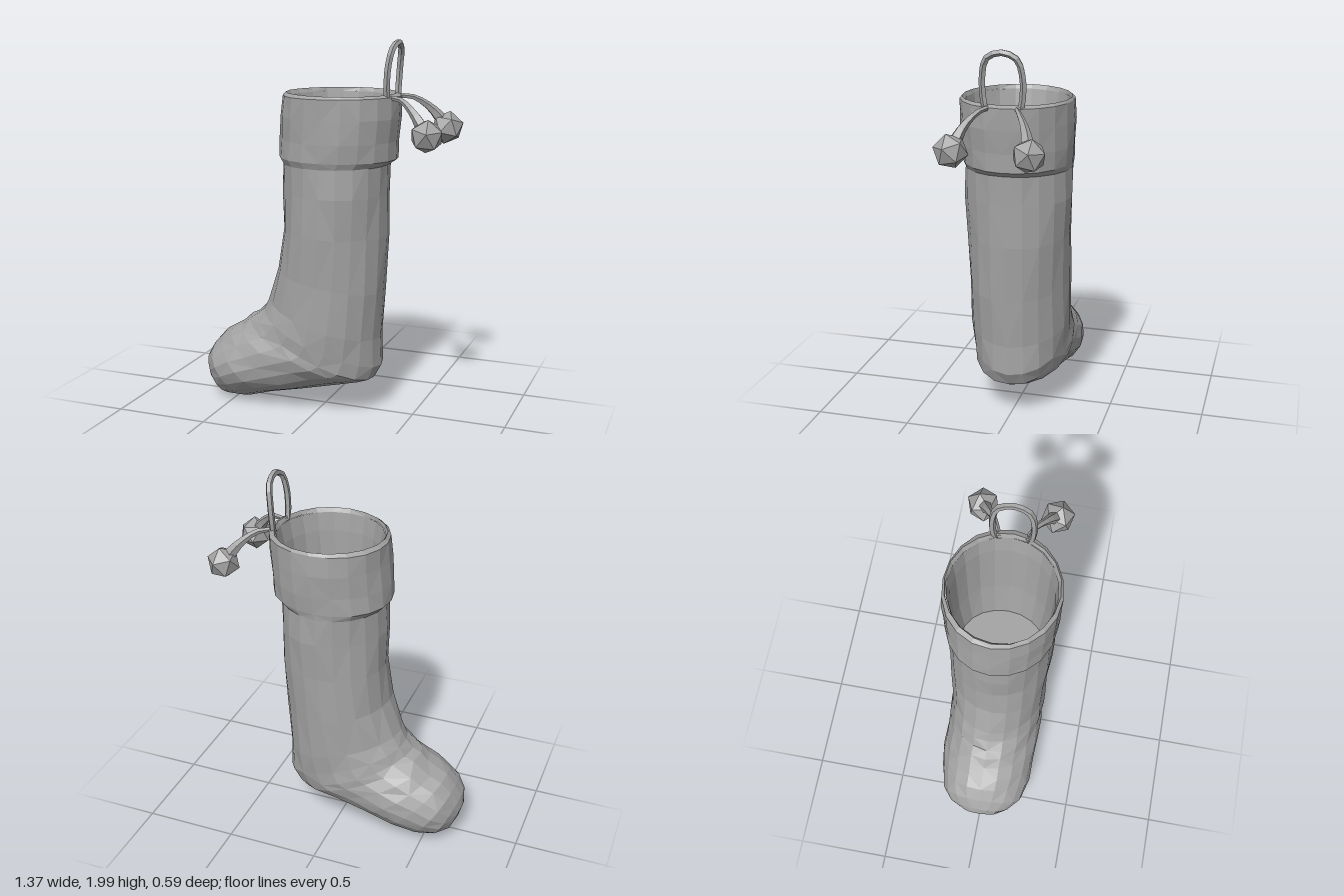
import * as THREE from 'three';

const felt = new THREE.MeshStandardMaterial({ color: 0xa3a3a3, flatShading: true });
felt.name = 'grey felt';

const SIDES = 20;

// Skin over elliptical rings; each ring is [toeX, toeY, heelX, heelY, halfWidth]
function loft(name, rings, wobble = 0.005) {
  const pos = [], index = [];
  rings.forEach(([ax, ay, bx, by, w], r) => {
    for (let i = 0; i < SIDES; i++) {
      const t = (i / SIDES) * Math.PI * 2;
      const k = 1 + (w > 0 ? (wobble / w) * Math.sin(i * 7.3 + r * 4.1) : 0); // soft hand-made dents
      const c = Math.cos(t) * k, s = Math.sin(t) * k;
      pos.push((ax + bx) / 2 + (c * (bx - ax)) / 2, (ay + by) / 2 + (c * (by - ay)) / 2, s * w);
    }
  });
  for (let r = 0; r < rings.length - 1; r++) {
    for (let i = 0; i < SIDES; i++) {
      const a = r * SIDES + i, b = r * SIDES + ((i + 1) % SIDES);
      const c = a + SIDES, d = b + SIDES;
      if ((i + r) % 2) index.push(a, b, c, b, d, c);
      else index.push(a, b, d, a, d, c);
    }
  }
  const geo = new THREE.BufferGeometry();
  geo.setAttribute('position', new THREE.Float32BufferAttribute(pos, 3));
  geo.setIndex(index);
  geo.computeVertexNormals();
  const mesh = new THREE.Mesh(geo, felt);
  mesh.name = name;
  return mesh;
}

// Cord along points, thickness running from r0 to r1
function cord(name, points, r0, r1, steps) {
  const curve = new THREE.CatmullRomCurve3(points.map((p) => new THREE.Vector3(...p)));
  const sides = 5;
  const geo = new THREE.TubeGeometry(curve, steps, 1, sides, false);
  const p = geo.attributes.position, v = new THREE.Vector3();
  for (let i = 0; i < p.count; i++) {
    const u = Math.floor(i / (sides + 1)) / steps;
    const centre = curve.getPointAt(u);
    v.fromBufferAttribute(p, i).sub(centre).multiplyScalar(r0 + (r1 - r0) * u * u).add(centre);
    p.setXYZ(i, v.x, v.y, v.z);
  }
  geo.computeVertexNormals();
  const mesh = new THREE.Mesh(geo, felt);
  mesh.name = name;
  return mesh;
}

export function createModel() {
  const model = new THREE.Group();
  model.name = 'stocking';

  // Hollow inside, from its floor up to the rim
  model.add(loft('lining', [
    [0.09, 1.0, 0.09, 1.0, 0],
    [-0.1, 1.0, 0.27, 1.0, 0.225],
    [-0.15, 1.25, 0.31, 1.25, 0.25],
    [-0.17, 1.6, 0.345, 1.6, 0.262],
    [-0.19, 1.7, 0.365, 1.7, 0.272],
  ], 0));

  // Folded cuff, rolled at the rim and tucked under at the bottom
  model.add(loft('cuff', [
    [-0.19, 1.7, 0.365, 1.7, 0.272],
    [-0.2, 1.722, 0.38, 1.722, 0.28],
    [-0.222, 1.705, 0.402, 1.71, 0.294],
    [-0.23, 1.6, 0.402, 1.6, 0.296],
    [-0.238, 1.48, 0.393, 1.48, 0.292],
    [-0.246, 1.385, 0.386, 1.385, 0.288],
    [-0.215, 1.35, 0.345, 1.355, 0.28],
  ], 0.003));

  // Leg and foot, the rings fanning round the ankle towards the toe
  model.add(loft('legAndFoot', [
    [-0.215, 1.4, 0.345, 1.4, 0.278],
    [-0.22, 1.2, 0.347, 1.2, 0.28],
    [-0.222, 1.0, 0.34, 0.98, 0.275],
    [-0.25, 0.78, 0.328, 0.68, 0.268],
    [-0.31, 0.6, 0.318, 0.42, 0.266],
    [-0.35, 0.545, 0.314, 0.27, 0.266],
    [-0.39, 0.5, 0.285, 0.195, 0.266],
    [-0.43, 0.475, 0.235, 0.17, 0.266],
    [-0.48, 0.44, 0.1, 0.145, 0.266],
    [-0.53, 0.405, -0.1, 0.095, 0.265],
    [-0.585, 0.37, -0.28, 0.05, 0.257],
    [-0.64, 0.315, -0.43, 0.012, 0.232],
    [-0.675, 0.25, -0.54, 0.008, 0.175],
    [-0.685, 0.19, -0.625, 0.045, 0.095],
    [-0.665, 0.115, -0.665, 0.115, 0],
  ]));

  // Hanging loop at the heel side
  model.add(cord('hangingLoop', [
    [0.365, 1.68, 0.085], [0.365, 1.76, 0.1], [0.372, 1.87, 0.1], [0.385, 1.95, 0.075],
    [0.392, 1.98, 0], [0.385, 1.95, -0.075], [0.372, 1.87, -0.1], [0.365, 1.76, -0.1], [0.365, 1.68, -0.085],
  ], 0.017, 0.017, 18));

  // Two pompoms on cords
  for (const side of [1, -1]) {
    const pompom = new THREE.Group();
    pompom.name = side > 0 ? 'leftPompom' : 'rightPompom';
    pompom.add(cord('pompomCord', [
      [0.36, 1.705, 0.065 * side], [0.44, 1.7, 0.1 * side],
      [0.52, 1.645, 0.15 * side], [0.59, 1.56, 0.185 * side],
    ], 0.012, 0.038, 7));
    const ball = new THREE.Mesh(new THREE.IcosahedronGeometry(0.087, 0), felt);
    ball.name = 'pompomBall';
    ball.position.set(0.603, 1.538, 0.192 * side);
    ball.rotation.set(0.3 * side, 0.5 * side, 0.4);
    pompom.add(ball);
    model.add(pompom);
  }
  return model;
}
